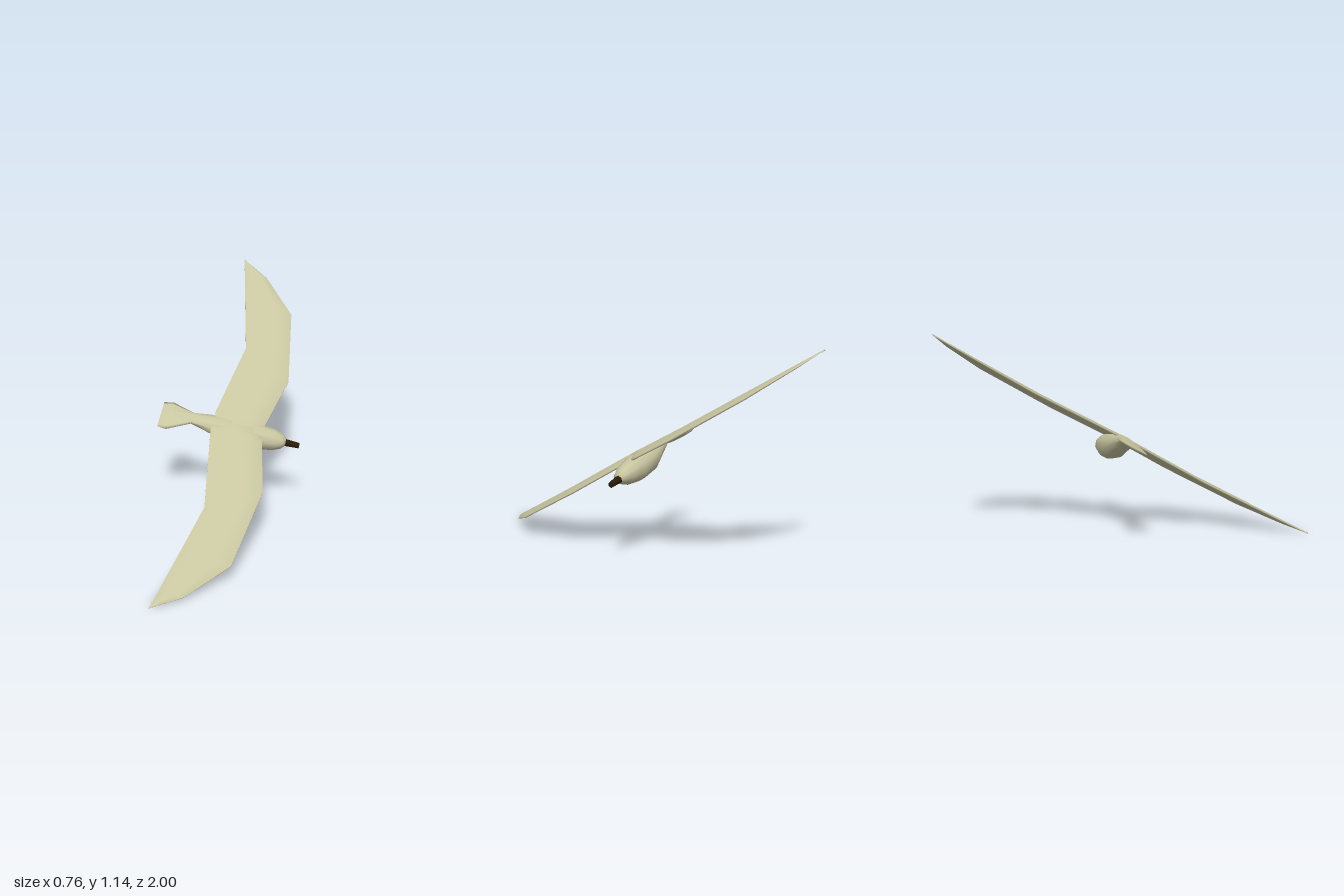
import * as THREE from 'three';

// Skin a list of closed rings (arrays of Vector3) with capped ends and smooth normals.
function loft(rings) {
  const n = rings[0].length;
  const pts = rings.flat();
  const idx = [];
  for (let i = 0; i < rings.length - 1; i++) {
    for (let j = 0; j < n; j++) {
      const a = i * n + j, b = i * n + (j + 1) % n;
      idx.push(a, b, a + n, b, b + n, a + n);
    }
  }
  for (const last of [false, true]) {
    const start = last ? (rings.length - 1) * n : 0;
    const centre = new THREE.Vector3();
    for (let j = 0; j < n; j++) centre.addScaledVector(pts[start + j], 1 / n);
    const c = pts.push(centre) - 1;
    for (let j = 0; j < n; j++) {
      const a = start + j, b = start + (j + 1) % n;
      if (last) idx.push(c, a, b); else idx.push(c, b, a);
    }
  }
  // Turn the skin outward whichever way the rings run.
  let volume = 0;
  const cross = new THREE.Vector3();
  for (let i = 0; i < idx.length; i += 3) {
    volume += pts[idx[i]].dot(cross.crossVectors(pts[idx[i + 1]], pts[idx[i + 2]]));
  }
  if (volume < 0) idx.reverse();
  const geo = new THREE.BufferGeometry().setFromPoints(pts);
  geo.setIndex(idx);
  geo.computeVertexNormals();
  return geo;
}

// Body and tail stations: [forward, top, bottom, half width]
const BODY = [
  [0.338, -0.028, -0.065, 0.022],
  [0.318, -0.01, -0.083, 0.042],
  [0.27, 0.008, -0.105, 0.06],
  [0.17, 0.02, -0.124, 0.07],
  [0.03, 0.02, -0.118, 0.068],
  [-0.09, 0.01, -0.075, 0.053],
  [-0.19, -0.004, -0.036, 0.037],
  [-0.315, -0.036, -0.058, 0.09],
  [-0.365, -0.046, -0.062, 0.082],
];

// Wing stations: leading [forward, out], trailing [forward, out], thickness scale
const WING = [
  [0.2, 0, -0.07, 0, 1],
  [0.215, 0.075, -0.074, 0.06, 1],
  [0.279, 0.366, 0, 0.53, 1],
  [0.207, 0.83, -0.083, 0.9, 0.85],
  [0.014, 1.058, -0.123, 1.08, 0.5],
  [-0.138, 1.156, -0.143, 1.16, 0.2],
];
// Cambered wing section: [fraction of chord, height]
const SECTION = [
  [0, 0.003], [0.3, 0.024], [0.7, 0.015], [1, -0.002],
  [1, -0.01], [0.7, 0.002], [0.3, 0.004], [0, -0.006],
];

function bodyGeometry() {
  return loft(BODY.map(([f, top, bottom, w]) =>
    Array.from({ length: 10 }, (_, i) => {
      const t = i / 10 * Math.PI * 2;
      return new THREE.Vector3(f, (top + bottom) / 2 + Math.sin(t) * (top - bottom) / 2, Math.cos(t) * w);
    })));
}

function wingGeometry(side) {
  return loft(WING.map(([lf, la, tf, ta, k]) =>
    SECTION.map(([c, h]) =>
      new THREE.Vector3(lf + (tf - lf) * c, h * k, side * (la + (ta - la) * c)))));
}

export function createModel() {
  const plumage = new THREE.MeshStandardMaterial({ color: 0xc8c5a0 });
  plumage.name = 'palePlumage';
  const horn = new THREE.MeshStandardMaterial({ color: 0x2a1c08 });
  horn.name = 'darkBeak';

  const model = new THREE.Group();
  model.name = 'bird';
  const add = (name, geometry, material) => {
    const mesh = new THREE.Mesh(geometry, material);
    mesh.name = name;
    model.add(mesh);
    return mesh;
  };

  add('bodyAndTail', bodyGeometry(), plumage);
  add('raisedWing', wingGeometry(-1), plumage);
  add('loweredWing', wingGeometry(1), plumage);

  // Beak: a short tapered six-sided prism
  const beak = new THREE.CylinderGeometry(0.017, 0.024, 0.11, 6);
  beak.rotateZ(-Math.PI / 2);
  add('beak', beak, horn).position.set(0.36, -0.049, 0);

  // Banked flight: nose along +x and a little down, one wing raised
  const nose = new THREE.Vector3(0.95, -0.18, -0.25).normalize();
  const raised = new THREE.Vector3(-0.13, 0.49, -0.86);
  const up = new THREE.Vector3().crossVectors(nose, raised).normalize();
  const lowered = new THREE.Vector3().crossVectors(nose, up);
  model.quaternion.setFromRotationMatrix(new THREE.Matrix4().makeBasis(nose, up, lowered));
  model.position.set(0, 0.572, -0.002);
  model.position.set(0, 0.55, -0.035);

  const root = new THREE.Group();
  root.name = 'bankedBird';
  root.add(model);
  // Rest the lowest wing tip on the ground
  root.updateMatrixWorld(true);
  model.position.y -= new THREE.Box3().setFromObject(root, true).min.y;
  return root;
}
